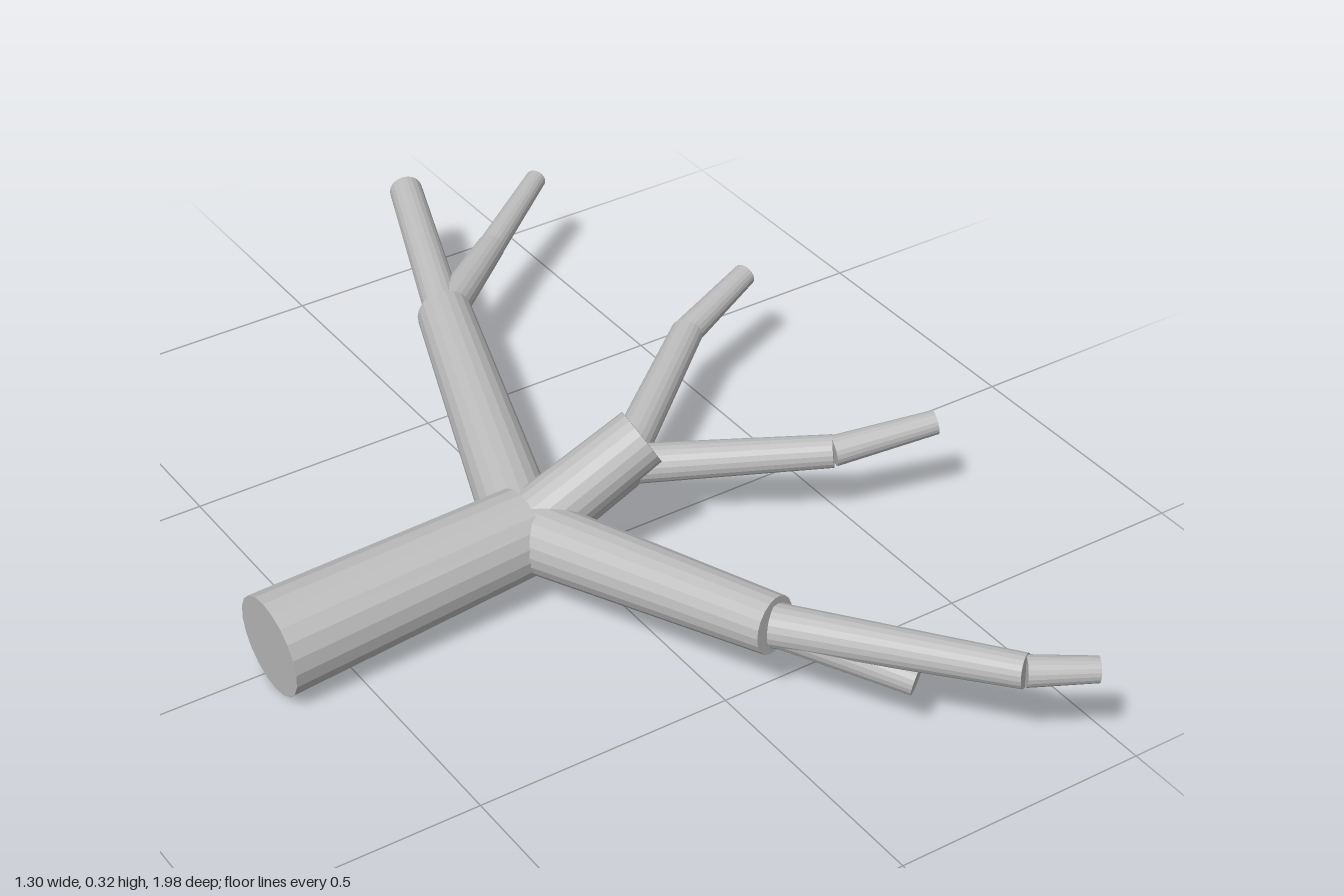
import * as THREE from 'three';

const SIDES = 20;
const UP = new THREE.Vector3(0, 1, 0);

export function createModel() {
  const model = new THREE.Group();
  model.name = 'branch';
  const grey = new THREE.MeshStandardMaterial({ color: 0xbcbcbc });
  grey.name = 'grey wood';
  grey.flatShading = true;

  // One tapered, capped limb between two points
  function limb(name, from, to, r0, r1) {
    const a = new THREE.Vector3(...from);
    const b = new THREE.Vector3(...to);
    const dir = b.clone().sub(a);
    const geo = new THREE.CylinderGeometry(r1, r0, dir.length(), SIDES);
    const mesh = new THREE.Mesh(geo, grey);
    mesh.name = name;
    mesh.quaternion.setFromUnitVectors(UP, dir.normalize());
    mesh.position.copy(a).add(b).multiplyScalar(0.5);
    model.add(mesh);
  }

  // Points where limbs split
  const fork = [-0.125, 0.133, 0.045];
  const backFork = [0.1, 0.168, -0.595];
  const frontFork = [0.065, 0.17, 0.545];
  const midFork = [0.14, 0.128, -0.035];

  // Trunk and the cut stub rising from its end
  limb('trunk', [-0.645, 0.097, 0.045], fork, 0.096, 0.083);
  limb('stub', fork, [0.103, 0.275, 0.083], 0.063, 0.057);

  // Back branch with a straight twig and a bent twig
  limb('backBranch', fork, backFork, 0.068, 0.054);
  limb('backTwig', backFork, [0.245, 0.205, -0.985], 0.038, 0.033);
  limb('backBentTwig', backFork, [0.3, 0.175, -0.745], 0.038, 0.028);
  limb('backBentTwigTip', [0.3, 0.175, -0.745], [0.493, 0.203, -0.88], 0.027, 0.021);

  // Front branch with a low straight twig and a bent twig
  limb('frontBranch', fork, frontFork, 0.068, 0.054);
  limb('frontTwig', frontFork, [0.21, 0.13, 0.755], 0.037, 0.029);
  limb('frontBentTwig', frontFork, [0.315, 0.205, 0.905], 0.04, 0.031);
  limb('frontBentTwigTip', [0.315, 0.205, 0.905], [0.42, 0.205, 0.968], 0.028, 0.023);

  // Middle branch with two spreading bent twigs
  limb('middleBranch', fork, midFork, 0.068, 0.05);
  for (const [name, bendZ, tipZ] of [['middleBackTwig', -0.277, -0.345], ['middleFrontTwig', 0.193, 0.257]]) {
    const bend = [0.453, 0.173, bendZ];
    limb(name, midFork, bend, 0.038, 0.031);
    limb(name + 'Tip', bend, [0.637, 0.205, tipZ], 0.029, 0.023);
  }
  return model;
}
